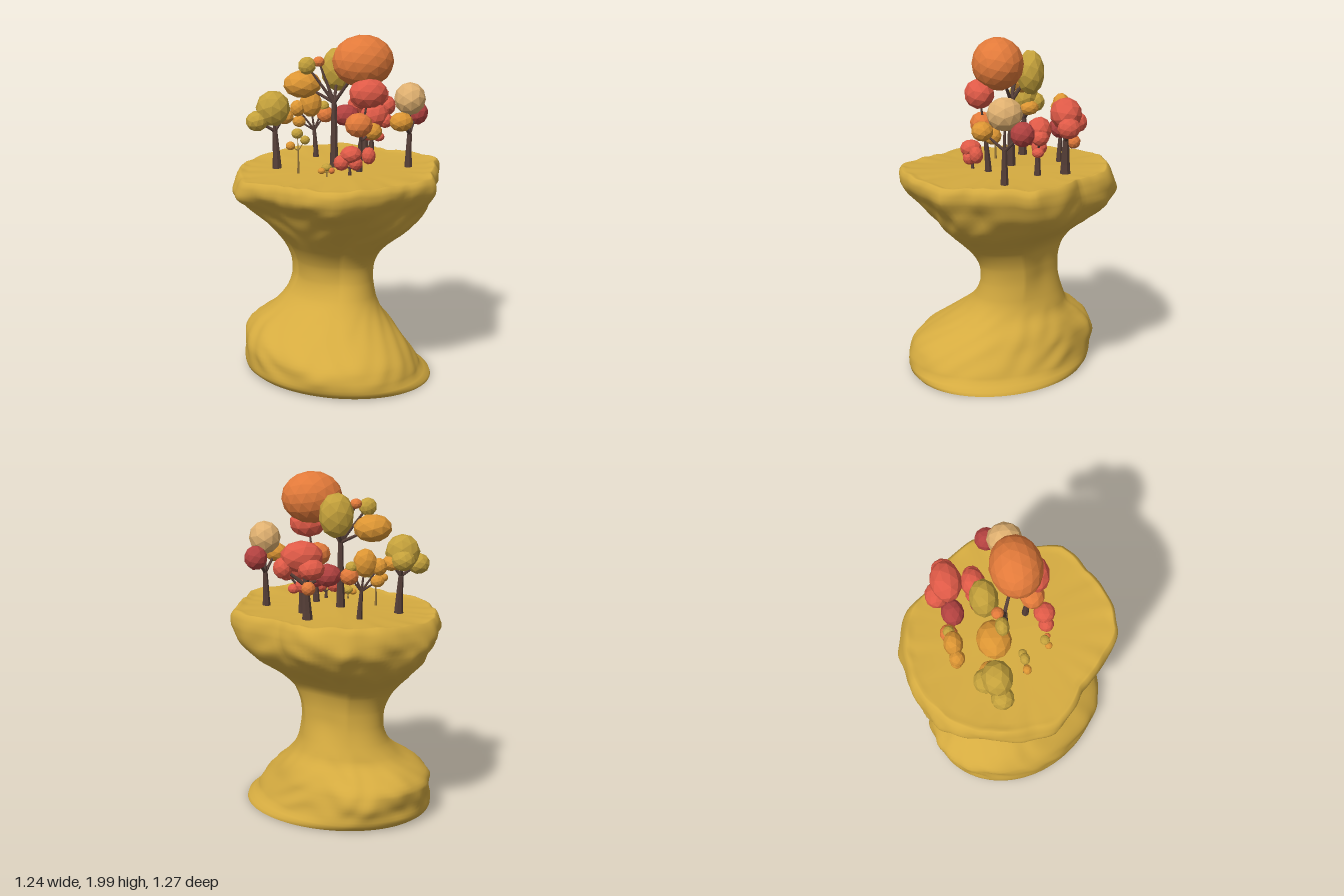
import * as THREE from 'three';

const mat = (name, color, extra = {}) => {
  const m = new THREE.MeshStandardMaterial({ color, ...extra });
  m.name = name;
  return m;
};
const flat = { flatShading: true };
const M = {
  rock: mat('ochre rock', 0xd5ab40),
  bark: mat('dark bark', 0x563f38, flat),
  twig: mat('pale bark', 0x94753a, flat),
  orange: mat('orange leaves', 0xe27a3a, flat),
  red: mat('red leaves', 0xdf5a47, flat),
  crimson: mat('crimson leaves', 0xb34240, flat),
  gold: mat('golden leaves', 0xdc9533, flat),
  olive: mat('olive leaves', 0xc4a13b, flat),
  tan: mat('tan leaves', 0xdfb070, flat),
};

// Rock silhouette: height, min x, max x, min z, max z
const LEVELS = [
  [0.01, -0.53, 0.51, -0.48, 0.56], [0.035, -0.56, 0.5, -0.51, 0.59],
  [0.06, -0.56, 0.45, -0.52, 0.59], [0.1, -0.56, 0.43, -0.52, 0.59],
  [0.2, -0.56, 0.37, -0.54, 0.55], [0.27, -0.54, 0.32, -0.51, 0.4],
  [0.32, -0.455, 0.28, -0.4, 0.32], [0.4, -0.335, 0.22, -0.36, 0.225],
  [0.5, -0.26, 0.205, -0.33, 0.165], [0.6, -0.245, 0.2, -0.32, 0.145],
  [0.7, -0.27, 0.215, -0.325, 0.175], [0.8, -0.335, 0.275, -0.375, 0.265],
  [0.9, -0.45, 0.43, -0.51, 0.39], [1.0, -0.54, 0.54, -0.6, 0.48],
  [1.1, -0.61, 0.6, -0.625, 0.585], [1.16, -0.615, 0.62, -0.62, 0.62],
  [1.21, -0.605, 0.615, -0.605, 0.625], [1.237, -0.585, 0.595, -0.585, 0.605],
];
// Plateau outline, x and z
const OUTLINE = [
  [0.615, -0.09], [0.57, 0.04], [0.49, 0.27], [0.47, 0.42], [0.28, 0.52], [0.04, 0.62],
  [-0.13, 0.61], [-0.25, 0.52], [-0.42, 0.325], [-0.6, 0.155], [-0.62, 0], [-0.57, -0.28],
  [-0.44, -0.48], [-0.25, -0.59], [0.02, -0.62], [0.25, -0.55], [0.38, -0.38],
].map(([x, z]) => ({ a: Math.atan2(z, x), r: Math.hypot(x, z) / 0.617 })).sort((p, q) => p.a - q.a);

function outlineRadius(a) {
  a = Math.atan2(Math.sin(a), Math.cos(a));
  const n = OUTLINE.length;
  let i = OUTLINE.findIndex((p) => p.a > a);
  if (i < 0) i = 0;
  const p = OUTLINE[(i + n - 1) % n], q = OUTLINE[i];
  const wrap = (v) => (v + 4 * Math.PI) % (2 * Math.PI);
  return THREE.MathUtils.lerp(p.r, q.r, wrap(a - p.a) / wrap(q.a - p.a));
}

function levelAt(y) {
  let i = LEVELS.findIndex((l) => l[0] >= y);
  i = Math.max(1, i < 0 ? LEVELS.length - 1 : i);
  const a = LEVELS[i - 1], b = LEVELS[i];
  const t = THREE.MathUtils.clamp((y - a[0]) / (b[0] - a[0]), 0, 1);
  return a.map((v, k) => v + (b[k] - v) * t);
}

// Silhouette with its corners rounded, except near the top and bottom
function smoothLevel(y) {
  const d = THREE.MathUtils.clamp(Math.min(y - 0.1, 1.15 - y), 0, 0.04);
  const lo = levelAt(y - d), mid = levelAt(y), hi = levelAt(y + d);
  return mid.map((v, k) => (lo[k] + v + hi[k]) / 3);
}

// Lumps and chips for the craggy surface, about -1 to 1
const crag = (x, y, z) =>
  0.55 * Math.sin(10 * x + 9 * y + Math.sin(8 * z + 7 * y)) * Math.cos(9 * z - 10 * y + Math.sin(7 * x)) +
  0.45 * Math.sin(20 * x - 15 * y + 2 * Math.sin(9 * z)) * Math.sin(18 * z + 25 * y + 1.5 * Math.sin(11 * x));

function buildRock() {
  const SEG = 128, pos = [], idx = [];
  const step = THREE.MathUtils.smoothstep;
  const rings = [[0.01, 0], [0.01, 1], [0.01, 1]];
  for (let i = 1; i <= 62; i++) rings.push([0.01 + 1.227 * i / 62, 1]);
  rings.push([1.24, 0.985], [1.236, 0.96], [1.23, 0.9], [1.226, 0.7], [1.224, 0.4], [1.224, 0]);

  rings.forEach(([y, scale]) => {
    const [, x0, x1, z0, z1] = smoothLevel(y);
    const cap = step(y, 0.75, 1.1);
    const amp = 0.06 * step(y, 0.75, 1.0) * (1 - 0.6 * step(y, 1.06, 1.16)) +
      0.045 * step(y, 0.04, 0.14) * (1 - step(y, 0.28, 0.45));
    // the base and neck are ovals drawn out along one diagonal
    const skew = THREE.MathUtils.lerp(0.17, 0.35, step(y, 0.3, 0.6));
    // the neck bulges to the front of the -x side
    const bulge = 0.14 * step(y, 0.4, 0.6) * (1 - cap);
    for (let j = 0; j < SEG; j++) {
      const a = j / SEG * Math.PI * 2, c = Math.cos(a), s = Math.sin(a);
      const oval = Math.sqrt((1 - skew * skew) / (1 - 2 * skew * s * c)) * (1 + bulge * 1.4 * Math.abs(s * c) * (s - c));
      let r = THREE.MathUtils.lerp(oval, outlineRadius(a), cap);
      // the -x and back faces are rougher
      const rough = 0.6 + 0.4 * Math.max(-c, -s, 0);
      r *= 1 + amp * rough * (crag(c * 0.6, y, s * 0.6) - 0.1);
      const x = (x0 + x1) / 2 + c * r * scale * (x1 - x0) / 2;
      const z = (z0 + z1) / 2 + s * r * scale * (z1 - z0) / 2;
      // uneven rim, with the whole top dipping towards -x
      const top = step(y, 1.02, 1.2), rim = top * step(scale, 0.6, 1);
      pos.push(x, y + rim * 0.012 * crag(x * 1.5, 0.4, z * 1.5) - top * 0.07 * Math.max(0, -x), z);
    }
  });
  for (let i = 0; i < rings.length - 1; i++) {
    if (i === 1) continue; // sharp edge between underside and wall
    for (let j = 0; j < SEG; j++) {
      const k = (j + 1) % SEG, a = i * SEG + j, b = i * SEG + k;
      idx.push(a, a + SEG, b, b, a + SEG, b + SEG);
    }
  }
  const g = new THREE.BufferGeometry();
  g.setAttribute('position', new THREE.Float32BufferAttribute(pos, 3));
  g.setIndex(idx);
  g.computeVertexNormals();
  const mesh = new THREE.Mesh(g, M.rock);
  mesh.name = 'rockPedestal';
  return mesh;
}

// Tapered limb between two points
function limb(name, from, to, r0, r1, material) {
  const a = new THREE.Vector3(...from), d = new THREE.Vector3(...to).sub(a);
  const mesh = new THREE.Mesh(new THREE.CylinderGeometry(r1, r0, d.length(), 7), material);
  mesh.name = name;
  mesh.position.copy(a).addScaledVector(d, 0.5);
  mesh.quaternion.setFromUnitVectors(new THREE.Vector3(0, 1, 0), d.normalize());
  return mesh;
}

// Tree: base x and z, fork point, trunk radius, leaf clumps [colour, x, y, z, rx, ry, rz]
function tree(name, [bx, bz], fork, r, clumps, bark = M.bark) {
  const g = new THREE.Group();
  g.name = name;
  const knee = [bx + (fork[0] - bx) * 0.25, 1.22 + (fork[1] - 1.22) * 0.3, bz + (fork[2] - bz) * 0.25];
  g.add(limb('trunkFoot', [bx, 1.19, bz], knee, r * 1.3, r, bark));
  g.add(limb('trunk', knee, fork, r, r * 0.7, bark));
  clumps.forEach(([color, x, y, z, rx, ry = rx, rz = rx], i) => {
    g.add(limb('branch', fork, [x, y, z], r * 0.5, r * 0.25, bark));
    const leaf = new THREE.Mesh(new THREE.IcosahedronGeometry(1.01, rx > 0.15 ? 2 : 1), M[color]);
    leaf.name = 'leafClump';
    leaf.geometry.rotateY(i * 1.3 + x * 9).rotateX(0.3 + i);
    leaf.scale.set(rx, ry, rz);
    leaf.position.set(x, y, z);
    g.add(leaf);
  });
  return g;
}

export function createModel() {
  const model = new THREE.Group();
  model.name = 'treesOnRock';
  model.add(
    buildRock(),
    tree('tallTree', [-0.03, -0.03], [-0.03, 1.6, -0.03], 0.022, [
      ['orange', 0.12, 1.85, 0.065, 0.175, 0.148, 0.145],
      ['olive', 0.01, 1.775, -0.135, 0.1, 0.13, 0.08],
      ['gold', -0.2, 1.695, -0.125, 0.11, 0.08, 0.095],
      ['olive', -0.18, 1.81, -0.075, 0.052, 0.052, 0.038],
      ['orange', -0.11, 1.83, -0.085, 0.034, 0.03, 0.034]]),
    tree('frontRedTree', [0.09, 0.115], [0.095, 1.4, 0.13], 0.018, [
      ['red', 0.13, 1.685, 0.17, 0.11, 0.085, 0.085],
      ['orange', 0.08, 1.5, 0.15, 0.08, 0.07, 0.07],
      ['gold', 0.17, 1.45, 0.1, 0.055, 0.05, 0.05]]),
    tree('leftOliveTree', [-0.35, -0.14], [-0.36, 1.42, -0.15], 0.022, [
      ['olive', -0.37, 1.555, -0.145, 0.1, 0.105, 0.088],
      ['olive', -0.465, 1.485, -0.135, 0.065, 0.06, 0.065],
      ['olive', -0.36, 1.52, -0.21, 0.07, 0.06, 0.065],
      ['gold', -0.3, 1.5, -0.17, 0.055, 0.045, 0.06]]),
    tree('backGoldTree', [-0.09, -0.32], [-0.1, 1.38, -0.33], 0.015, [
      ['gold', -0.12, 1.54, -0.335, 0.067, 0.082, 0.055],
      ['gold', -0.2, 1.515, -0.33, 0.045, 0.05, 0.045],
      ['gold', -0.19, 1.435, -0.335, 0.04, 0.035, 0.035],
      ['orange', -0.03, 1.47, -0.345, 0.052, 0.05, 0.05],
      ['olive', -0.04, 1.52, -0.345, 0.033]]),
    tree('oliveSapling', [-0.25, 0.035], [-0.25, 1.34, 0.037], 0.006, [
      ['olive', -0.255, 1.44, 0.035, 0.034, 0.03, 0.028],
      ['gold', -0.295, 1.37, 0.04, 0.028, 0.025, 0.025],
      ['olive', -0.21, 1.4, 0.033, 0.028, 0.026, 0.025]], M.twig),
    tree('tinySapling', [-0.11, 0.19], [-0.11, 1.24, 0.19], 0.005, [
      ['olive', -0.11, 1.27, 0.185, 0.03, 0.022, 0.028],
      ['gold', -0.142, 1.255, 0.2, 0.022, 0.018, 0.022],
      ['orange', -0.085, 1.255, 0.205, 0.018]], M.twig),
    tree('redBush', [0.02, 0.2], [0.02, 1.26, 0.2], 0.01, [
      ['red', 0.025, 1.345, 0.21, 0.062, 0.05, 0.062],
      ['red', -0.03, 1.3, 0.21, 0.045, 0.045, 0.045],
      ['red', 0.05, 1.295, 0.22, 0.04],
      ['red', 0.13, 1.33, 0.19, 0.04, 0.05, 0.04]]),
    tree('backRedTree', [0.2, -0.31], [0.21, 1.42, -0.31], 0.026, [
      ['red', 0.23, 1.58, -0.305, 0.12, 0.09, 0.09],
      ['red', 0.185, 1.52, -0.37, 0.075, 0.06, 0.065],
      ['red', 0.335, 1.52, -0.305, 0.055, 0.06, 0.065],
      ['crimson', 0.085, 1.47, -0.3, 0.078, 0.065, 0.065],
      ['orange', 0.2, 1.41, -0.355, 0.04]]),
    tree('middleRedTree', [0.21, -0.15], [0.215, 1.36, -0.15], 0.018, [
      ['red', 0.23, 1.49, -0.155, 0.085, 0.075, 0.07],
      ['red', 0.295, 1.46, -0.15, 0.045, 0.045, 0.05],
      ['crimson', 0.13, 1.42, -0.145, 0.055, 0.05, 0.05],
      ['red', 0.2, 1.385, -0.16, 0.05, 0.045, 0.045],
      ['red', 0.255, 1.365, -0.145, 0.035, 0.028, 0.035]]),
    tree('rightTanTree', [0.39, 0.06], [0.395, 1.42, 0.06], 0.02, [
      ['tan', 0.395, 1.625, 0.06, 0.09, 0.095, 0.1],
      ['crimson', 0.457, 1.525, -0.03, 0.066, 0.07, 0.068],
      ['gold', 0.32, 1.515, 0.175, 0.068, 0.055, 0.062]]),
  );
  return model;
}
